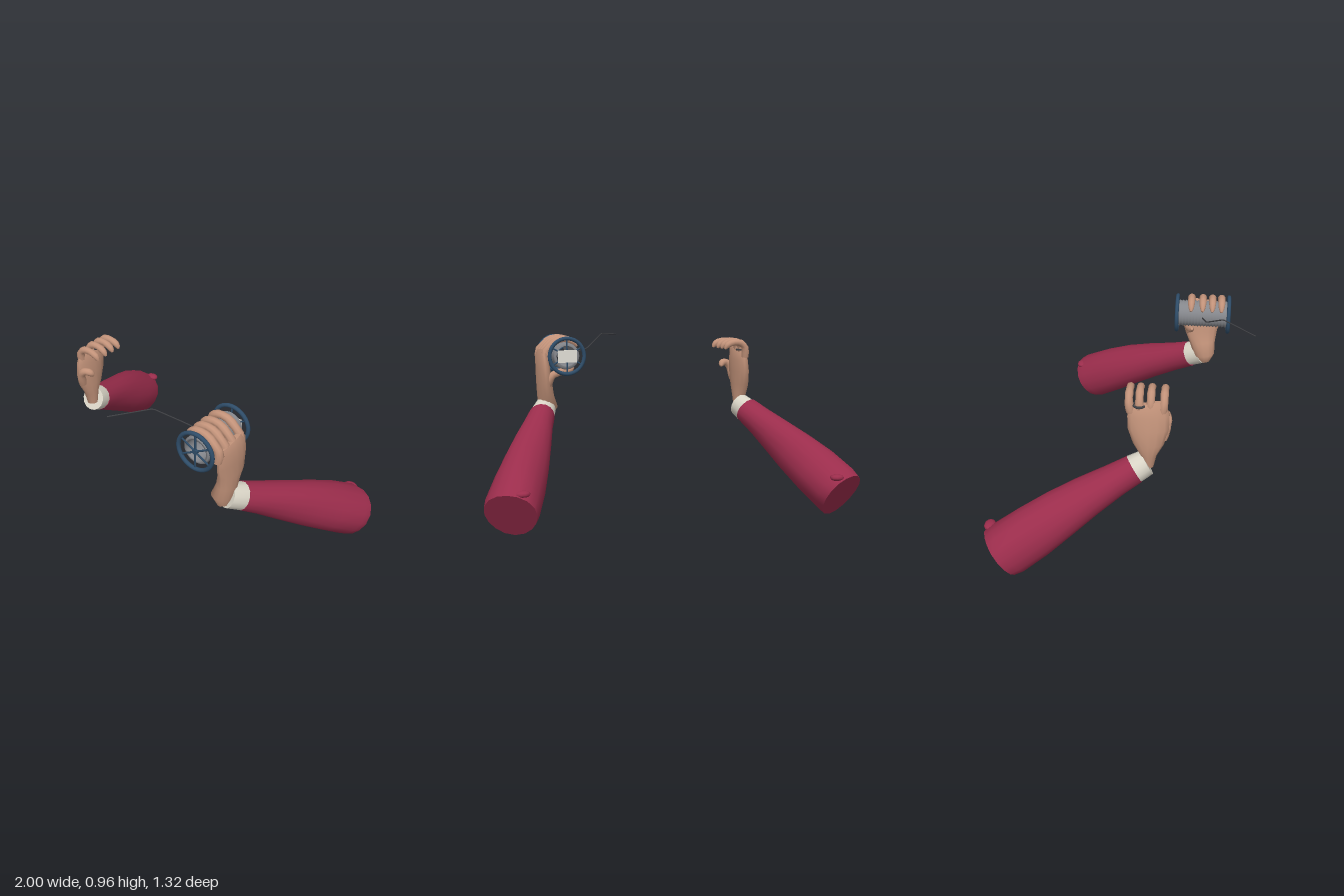
import * as THREE from 'three';

const mat = (name, color, side = THREE.FrontSide) => {
  const m = new THREE.MeshStandardMaterial({ color, side });
  m.name = name;
  return m;
};

// Tube of elliptical rings through sections [x, y, z, a, b]; b lies along the hint, a across it
function loft(sections, hint, sides = 12, ripple = 0) {
  const pts = sections.map(s => new THREE.Vector3(s[0], s[1], s[2]));
  const n = pts.length, pos = [], idx = [];
  const h = new THREE.Vector3(...hint);
  for (let i = 0; i < n; i++) {
    const t = pts[Math.min(i + 1, n - 1)].clone().sub(pts[Math.max(i - 1, 0)]).normalize();
    const u = h.clone().cross(t).normalize();
    const v = t.clone().cross(u);
    for (let j = 0; j < sides; j++) {
      const q = j / sides * Math.PI * 2;
      const r = 1 + ripple * Math.sin(3 * q + i * 1.3);
      const p = pts[i].clone()
        .addScaledVector(u, Math.cos(q) * sections[i][3] * r)
        .addScaledVector(v, Math.sin(q) * sections[i][4] * r);
      pos.push(p.x, p.y, p.z);
    }
  }
  for (let i = 0; i < n - 1; i++) for (let j = 0; j < sides; j++) {
    const k = (j + 1) % sides, a = i * sides + j, b = i * sides + k;
    idx.push(a, b, a + sides, b, b + sides, a + sides);
  }
  // flat caps with their own vertices
  for (const i of [0, n - 1]) {
    const base = pos.length / 3;
    for (let j = 0; j < sides; j++) {
      const o = (i * sides + j) * 3;
      pos.push(pos[o], pos[o + 1], pos[o + 2]);
    }
    pos.push(pts[i].x, pts[i].y, pts[i].z);
    for (let j = 0; j < sides; j++) {
      const k = (j + 1) % sides;
      if (i === 0) idx.push(base + sides, base + k, base + j);
      else idx.push(base + sides, base + j, base + k);
    }
  }
  const g = new THREE.BufferGeometry();
  g.setAttribute('position', new THREE.Float32BufferAttribute(pos, 3));
  g.setIndex(idx);
  g.computeVertexNormals();
  return g;
}

// Rounded finger along a smooth curve
function digit(points, r) {
  const curve = new THREE.CatmullRomCurve3(points.map(p => new THREE.Vector3(...p)));
  const taper = [1, 1.08, 0.98, 0.9, 1, 0.9, 0.86, 0.92, 0.85, 0.7, 0.3];
  const s = taper.map((k, i) => {
    const p = curve.getPoint(i / (taper.length - 1));
    return [p.x, p.y, p.z, r * k, r * k];
  });
  return loft(s, [0, 0, 1], 10);
}

export function createModel() {
  const model = new THREE.Group();
  const red = mat('sleeveRed', 0x9b2d4c);
  const skin = mat('skin', 0xc3937a);
  const cream = mat('cuffCream', 0xd9d4c6);
  const blue = mat('spoolBlue', 0x2f4d69);
  const grey = mat('windingGrey', 0x85878c, THREE.DoubleSide);
  const dark = mat('wireDark', 0x3f4044);
  const white = mat('labelWhite', 0xe2e0d8);

  const group = (name, parent = model) => {
    const g = new THREE.Group();
    g.name = name;
    parent.add(g);
    return g;
  };
  const add = (parent, name, geo, material) => {
    const m = new THREE.Mesh(geo, material);
    m.name = name;
    parent.add(m);
    return m;
  };

  // Sleeve from elbow to wrist, with a cuff and a fold of cloth at the elbow
  const sleeve = (parent, elbow, wrist, cuffEnd, fold) => {
    const e = new THREE.Vector3(...elbow), w = new THREE.Vector3(...wrist);
    const radii = [[0, 0.138], [0.06, 0.144], [0.25, 0.139], [0.45, 0.125], [0.65, 0.106], [0.85, 0.086], [1, 0.076]];
    const s = radii.map(([t, r]) => {
      const p = e.clone().lerp(w, t);
      return [p.x, p.y + 0.012 * Math.sin(t * Math.PI), p.z, r * 0.97, r];
    });
    add(parent, 'sleeve', loft(s, [0, 1, 0], 16, 0.025), red);
    const back = w.clone().lerp(e, 0.04);
    add(parent, 'cuff', loft([
      [back.x, back.y, back.z, 0.071, 0.072],
      [...wrist, 0.072, 0.074],
      [...cuffEnd, 0.062, 0.068],
    ], [0, 1, 0], 14), cream);
    const f = add(parent, 'sleeveFold', new THREE.SphereGeometry(1, 10, 6), red);
    f.scale.set(0.04, 0.018, 0.03);
    f.position.set(...fold);
  };

  // Left arm, gripping the spool
  const left = group('leftArm');
  sleeve(left, [0.87, 0.13, -0.35], [0.555, 0.515, 0.315], [0.52, 0.547, 0.385], [0.82, 0.245, -0.405]);
  add(left, 'leftPalm', loft([
    [0.51, 0.50, 0.40, 0.03, 0.035],
    [0.50, 0.55, 0.398, 0.055, 0.062],
    [0.518, 0.62, 0.385, 0.047, 0.076],
    [0.528, 0.70, 0.372, 0.041, 0.098],
    [0.533, 0.78, 0.378, 0.036, 0.112],
    [0.538, 0.85, 0.388, 0.028, 0.108],
    [0.534, 0.885, 0.392, 0.016, 0.095],
  ], [0, 0, 1], 14), skin);
  const axis = [0.425, 0.855];
  for (const z of [0.31, 0.375, 0.43, 0.482]) {
    const arc = [-22, 10, 40, 70, 100, 125, 148].map(d => {
      const a = d * Math.PI / 180, r = d < 30 ? 0.108 : 0.092;
      return [axis[0] + r * Math.cos(a), axis[1] + r * Math.sin(a), z];
    });
    add(left, 'leftFinger', digit(arc, 0.023), skin);
  }
  add(left, 'leftThumb', digit([
    [0.525, 0.68, 0.31], [0.50, 0.74, 0.29], [0.455, 0.762, 0.29], [0.40, 0.765, 0.31], [0.365, 0.785, 0.32],
  ], 0.023), skin);

  // Right arm, with an open curled hand
  const right = group('rightArm');
  sleeve(right, [-0.88, 0.13, -0.57], [-0.63, 0.515, 0.08], [-0.61, 0.545, 0.14], [-0.81, 0.245, -0.63]);
  add(right, 'rightPalm', loft([
    [-0.61, 0.53, 0.145, 0.03, 0.03],
    [-0.612, 0.60, 0.148, 0.040, 0.042],
    [-0.613, 0.67, 0.148, 0.047, 0.078],
    [-0.608, 0.75, 0.146, 0.043, 0.102],
    [-0.602, 0.82, 0.145, 0.036, 0.104],
    [-0.600, 0.865, 0.140, 0.025, 0.092],
    [-0.600, 0.885, 0.135, 0.012, 0.075],
  ], [0, 0, 1], 14), skin);
  [[0.05, 0], [0.1, 0.004], [0.155, 0.004], [0.218, 0]].forEach(([z, lift]) => {
    add(right, 'rightFinger', digit([
      [-0.602, 0.835, z * 0.9 + 0.014], [-0.598, 0.89, z], [-0.57, 0.918 + lift, z],
      [-0.525, 0.922 + lift, z], [-0.485, 0.908, z], [-0.47, 0.885, z],
    ], 0.021), skin);
  });
  add(right, 'rightThumb', digit([
    [-0.605, 0.69, 0.215], [-0.59, 0.76, 0.235], [-0.565, 0.79, 0.235], [-0.535, 0.79, 0.225], [-0.52, 0.77, 0.21],
  ], 0.023), skin);
  const ring = add(right, 'fingerRing', new THREE.TorusGeometry(0.028, 0.006, 6, 16), dark);
  ring.rotation.x = Math.PI / 2;
  ring.position.set(-0.6, 0.876, 0.1);

  // Spool: ridged winding on a hollow core, with a spoked rim at each end
  const spool = group('spool');
  spool.position.set(axis[0], axis[1], 0.377);
  const profile = [new THREE.Vector2(0.058, -0.14)];
  for (let i = 0; i <= 32; i++) profile.push(new THREE.Vector2(i % 2 ? 0.076 : 0.069, -0.14 + i * 0.28 / 32));
  profile.push(new THREE.Vector2(0.058, 0.14), new THREE.Vector2(0.058, -0.14));
  add(spool, 'winding', new THREE.LatheGeometry(profile, 28), grey).rotation.x = Math.PI / 2;
  for (const side of [-1, 1]) {
    const wheel = group('spoolWheel', spool);
    wheel.position.z = side * 0.147;
    add(wheel, 'rim', new THREE.TorusGeometry(0.1, 0.011, 8, 32), blue);
    for (let i = 0; i < 3; i++) {
      add(wheel, 'spoke', new THREE.CylinderGeometry(0.005, 0.005, 0.2, 6), blue).rotation.z = i * Math.PI / 3;
    }
    add(wheel, 'hub', new THREE.CylinderGeometry(0.014, 0.014, 0.014, 12), blue).rotation.x = Math.PI / 2;
  }
  const label = add(spool, 'labelPlate', new THREE.BoxGeometry(0.11, 0.07, 0.005), white);
  label.position.z = -0.156;

  // Loose end of the wire
  const path = new THREE.CurvePath();
  const wire = [[0, 0.95, 0.66], [0.145, 0.964, 0.49], [0.26, 0.885, 0.4], [0.36, 0.86, 0.375]]
    .map(p => new THREE.Vector3(...p));
  for (let i = 0; i < 3; i++) path.add(new THREE.LineCurve3(wire[i], wire[i + 1]));
  add(model, 'looseWire', new THREE.TubeGeometry(path, 30, 0.0035, 6), dark);

  return model;
}
